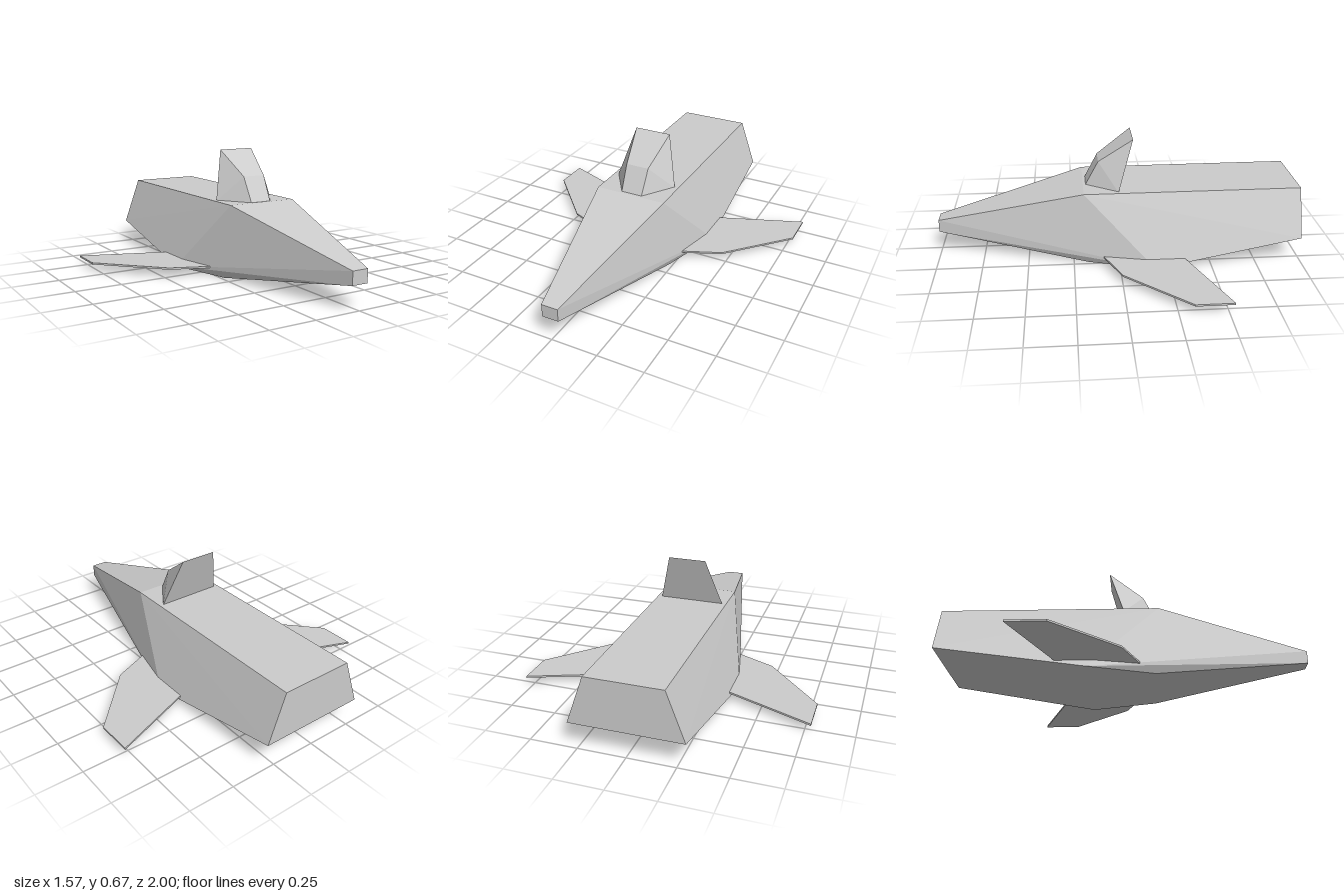
import * as THREE from 'three';
import { ConvexGeometry } from 'three/addons/geometries/ConvexGeometry.js';

const material = new THREE.MeshStandardMaterial({ color: 0xcccccc, flatShading: true });

// Faceted solid spanned by corner points
function facetedPart(name, corners) {
  const points = corners.map((c) => new THREE.Vector3(...c));
  const mesh = new THREE.Mesh(new ConvexGeometry(points), material);
  mesh.name = name;
  return mesh;
}

// Adds the mirror image of each corner across x = 0
const mirrored = (corners) => corners.flatMap(([x, y, z]) => [[x, y, z], [-x, y, z]]);

export function createModel() {
  const model = new THREE.Group();
  model.name = 'spacecraft';

  // Hull: left-hand corners from nose to stern
  model.add(facetedPart('hull', mirrored([
    [0.045, 0.195, 1], [0.045, 0.125, 1], // blunt nose
    [0.2, 0.395, 0.19], [0.23, 0, 0.17], // shoulder and front of belly
    [0.338, 0.002, -0.19], [0.225, 0, -0.2], // widest point and rear of belly
    [0.295, 0.135, -1], [0.2, 0.397, -1], // stern
  ])));

  // Bridge tower leaning back over the deck
  model.add(facetedPart('bridgeTower', mirrored([
    [0.06, 0.39, 0.178], [0.065, 0.53, 0.105],
    [0.102, 0.665, -0.083], [0.178, 0.39, 0],
  ])));

  // Thin swept wings, rooted inside the hull
  const outline = [[0.25, 0.095], [0.475, 0], [0.783, -0.33], [0.783, -0.53], [0.25, -0.325]];
  for (const [name, side] of [['leftWing', 1], ['rightWing', -1]]) {
    const corners = outline.flatMap(([x, z]) => [[side * x, 0.041, z], [side * x, 0.051, z]]);
    model.add(facetedPart(name, corners));
  }

  return model;
}
